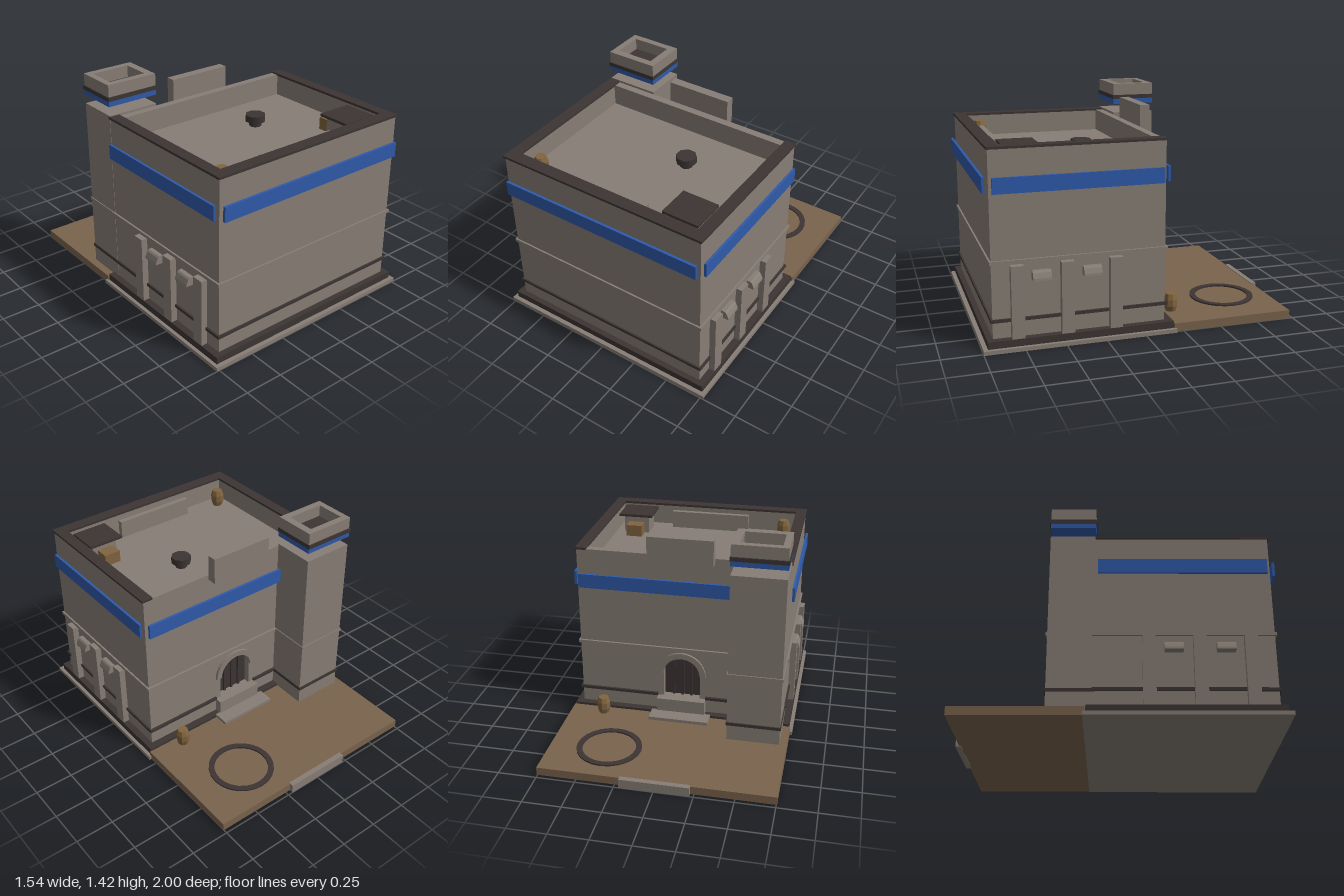
import * as THREE from 'three';

const material = (name, color) => {
  const m = new THREE.MeshStandardMaterial({ color });
  m.name = name;
  return m;
};

export function createModel() {
  const stone = material('stone', 0x877e75);
  const dark = material('dark trim', 0x3c3533);
  const blue = material('blue stripe', 0x2f5aaa);
  const earth = material('earth', 0x7a634c);
  const wood = material('wood', 0x80643f);
  const model = new THREE.Group();
  model.name = 'fortifiedHouse';

  const add = (name, geometry, mat, x = 0, y = 0, z = 0) => {
    const mesh = new THREE.Mesh(geometry, mat);
    mesh.name = name;
    mesh.position.set(x, y, z);
    model.add(mesh);
    return mesh;
  };
  // Box given by its limits on each axis
  const box = (name, mat, x0, x1, y0, y1, z0, z1) =>
    add(name, new THREE.BoxGeometry(x1 - x0, y1 - y0, z1 - z0), mat,
      (x0 + x1) / 2, (y0 + y1) / 2, (z0 + z1) / 2);
  // Extruded outline with faceted curves
  const extrude = (shape, depth, curveSegments = 8) =>
    new THREE.ExtrudeGeometry(shape, { depth, bevelEnabled: false, curveSegments });

  // Ground: foundation slab, plinth and rear yard
  box('foundation', stone, -0.77, 0.77, 0, 0.025, -0.2, 1);
  box('plinth', dark, -0.747, 0.747, 0.025, 0.07, -0.183, 0.972);
  box('yard', earth, -0.755, 0.755, 0.002, 0.056, -0.975, -0.187);
  box('yardKerb', stone, -0.225, 0.218, 0, 0.061, -1, -0.965);

  const ring = new THREE.Shape().absarc(0, 0, 0.212, 0, Math.PI * 2);
  ring.holes.push(new THREE.Path().absarc(0, 0, 0.175, 0, Math.PI * 2, true));
  const yardRing = add('yardRing', extrude(ring, 0.014, 12), dark, 0.368, 0.052, -0.667);
  yardRing.rotation.set(-Math.PI / 2, 0, Math.PI / 12);

  // Main block, with the rear wall pierced by an arched doorway
  box('body', stone, -0.703, 0.703, 0.025, 1.06, -0.085, 0.935);
  const wall = new THREE.Shape();
  wall.moveTo(-0.703, 0.025).lineTo(0.703, 0.025).lineTo(0.703, 1.205).lineTo(-0.703, 1.205);
  const doorway = new THREE.Path();
  doorway.moveTo(-0.125, 0.17).lineTo(-0.125, 0.345);
  doorway.absarc(0, 0.345, 0.125, Math.PI, 0, true);
  doorway.lineTo(0.125, 0.17);
  wall.holes.push(doorway);
  add('rearWall', extrude(wall, 0.05), stone, 0, 0, -0.135);

  // Doorway fittings
  box('doorPanel', dark, -0.13, 0.13, 0.165, 0.48, -0.092, -0.084);
  for (const x of [-0.06, 0, 0.06]) box('doorBar', dark, x - 0.008, x + 0.008, 0.17, 0.46, -0.105, -0.09);
  const arch = new THREE.Shape().absarc(0, 0, 0.165, 0, Math.PI);
  arch.absarc(0, 0, 0.125, Math.PI, 0, true);
  add('doorArch', extrude(arch, 0.02), stone, 0, 0.345, -0.152);
  box('doorSill', stone, -0.165, 0.165, 0.05, 0.17, -0.19, -0.13);
  box('doorStep', stone, -0.205, 0.2, 0.05, 0.078, -0.288, -0.18);

  // Horizontal courses around the house, split at the doorway for the dark one
  box('beltCourse', stone, -0.715, 0.715, 0.525, 0.546, -0.15, 0.946);
  box('baseBand', dark, -0.715, 0.715, 0.17, 0.19, -0.08, 0.946);
  for (const s of [-1, 1])
    box('rearBaseBand', dark, s > 0 ? 0.165 : -0.715, s > 0 ? 0.715 : -0.165, 0.17, 0.19, -0.15, -0.08);

  // Blue stripes standing just off the walls
  box('frontStripe', blue, -0.69, 0.69, 0.945, 1.04, 0.953, 0.97);
  box('rearStripe', blue, -0.69, 0.69, 0.945, 1.04, -0.17, -0.153);

  // Side walls: stripe, parapet, pilasters and window hoods
  const hood = new THREE.Shape();
  hood.moveTo(0, 0).lineTo(0.055, 0).lineTo(0.053, 0.015).lineTo(0.04, 0.045).lineTo(0.03, 0.055).lineTo(0, 0.055);
  for (const s of [-1, 1]) {
    const side = (name, mat, x0, x1, y0, y1, z0, z1) =>
      box(name, mat, Math.min(s * x0, s * x1), Math.max(s * x0, s * x1), y0, y1, z0, z1);
    side('sideStripe', blue, 0.714, 0.73, 0.945, 1.04, -0.12, 0.918);
    side('sideParapet', stone, 0.645, 0.703, 1.06, 1.2, -0.085, 0.935);
    side('sideCoping', dark, 0.637, 0.711, 1.2, 1.215, -0.138, 0.943);
    for (const z of [0.787, 0.485, 0.185])
      side('pilaster', stone, 0.69, 0.745, 0.06, 0.516, z - 0.039, z + 0.039);
    for (const z of [0.64, 0.332]) {
      const g = extrude(hood, 0.112).translate(0, 0, -0.056);
      const m = add('windowHood', g, stone, s * 0.7, 0.418, z);
      if (s < 0) m.rotation.y = Math.PI;
    }
  }
  box('frontParapet', stone, -0.645, 0.645, 1.06, 1.2, 0.87, 0.935);
  box('frontCoping', dark, -0.637, 0.637, 1.2, 1.215, 0.862, 0.943);
  box('rearCrest', stone, -0.218, 0.215, 1.17, 1.345, -0.197, -0.135);

  // Corner tower with a cap held above it
  box('tower', stone, -0.705, -0.357, 0.01, 1.22, -0.418, -0.134);
  box('towerBaseBand', dark, -0.711, -0.351, 0.166, 0.187, -0.426, -0.134);
  box('towerBelt', stone, -0.711, -0.351, 0.525, 0.545, -0.426, -0.134);
  box('capStripe', blue, -0.708, -0.355, 1.28, 1.315, -0.42, -0.132);
  box('capBand', dark, -0.712, -0.353, 1.315, 1.342, -0.427, -0.128);
  const capWall = new THREE.Shape();
  capWall.moveTo(-0.705, 0.134).lineTo(-0.357, 0.134).lineTo(-0.357, 0.418).lineTo(-0.705, 0.418);
  const well = new THREE.Path();
  well.moveTo(-0.664, 0.182).lineTo(-0.664, 0.374).lineTo(-0.407, 0.374).lineTo(-0.407, 0.182);
  capWall.holes.push(well);
  add('capParapet', extrude(capWall, 0.08), stone, 0, 1.34, 0).rotation.x = -Math.PI / 2;

  // Things on the roof
  box('roofHut', stone, 0.405, 0.585, 1.06, 1.185, 0.64, 0.8);
  box('roofHutLid', dark, 0.375, 0.615, 1.183, 1.2, 0.61, 0.83);
  box('roofCrate', wood, 0.437, 0.55, 1.06, 1.14, 0.545, 0.635);
  box('roofScreen', stone, -0.3, 0.262, 1.06, 1.18, 0.795, 0.83);
  const vent = new THREE.CylinderGeometry(0.066, 0.066, 0.045, 8);
  vent.rotateY(Math.PI / 8);
  add('roofVent', vent, dark, 0.155, 1.115, 0.245);
  add('roofVentStem', new THREE.CylinderGeometry(0.04, 0.04, 0.05, 8), dark, 0.155, 1.08, 0.245);

  // Eight-sided barrels in the yard and on the roof
  const profile = [[0, 0], [0.034, 0], [0.045, 0.035], [0.045, 0.08], [0.034, 0.115], [0, 0.115]]
    .map(([r, y]) => new THREE.Vector2(r, y));
  const barrel = new THREE.LatheGeometry(profile, 8).toNonIndexed();
  barrel.computeVertexNormals();
  add('yardBarrel', barrel, wood, 0.527, 0.056, -0.245);
  add('roofBarrel', barrel, wood, -0.56, 1.06, 0.78);

  return model;
}
